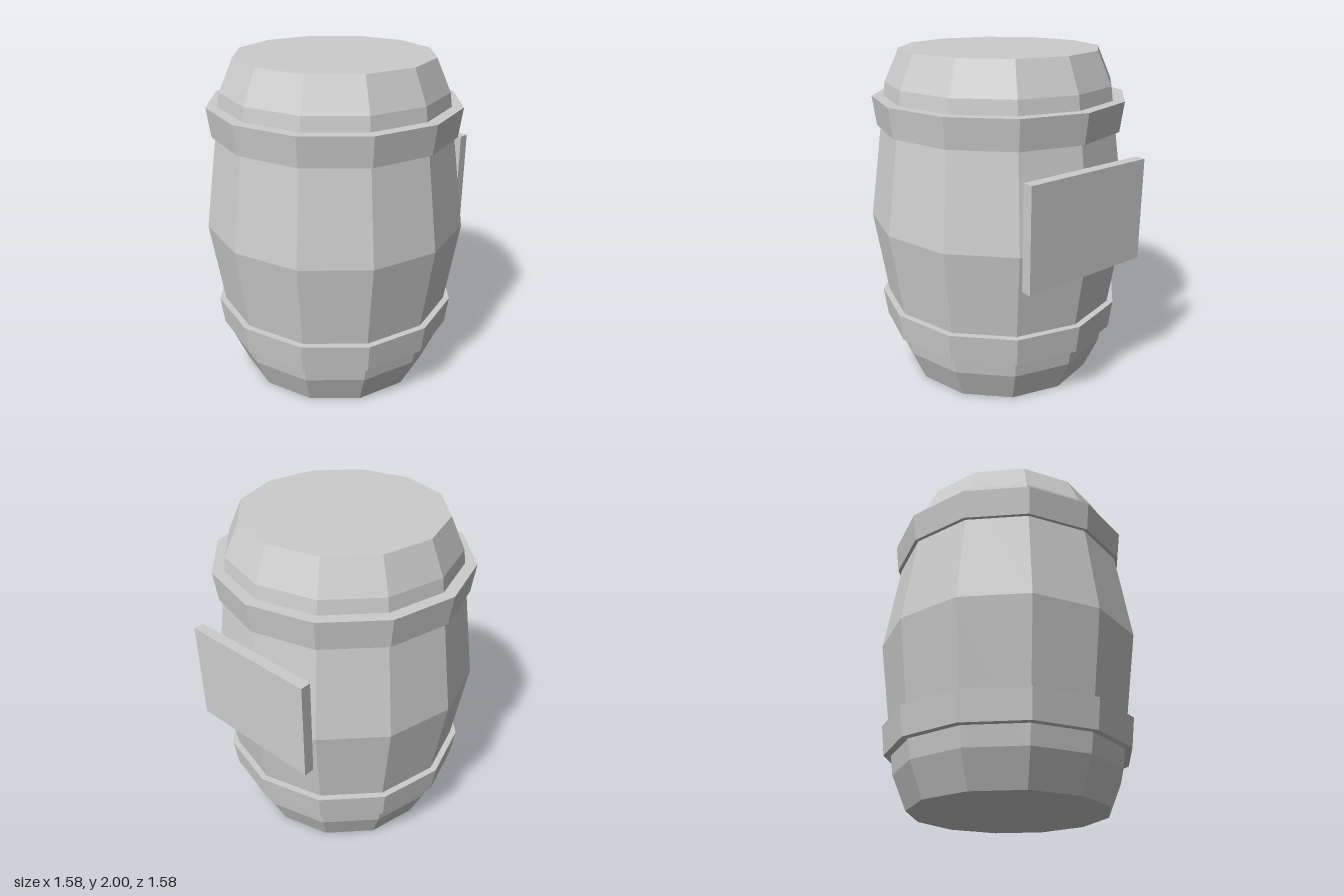
import * as THREE from 'three';

const SIDES = 12;

export function createModel() {
  const model = new THREE.Group();
  model.name = 'barrel';

  const grey = new THREE.MeshStandardMaterial({ color: 0xcccccc, flatShading: true });
  grey.name = 'grey';

  function add(name, geometry, y = 0, z = 0) {
    const mesh = new THREE.Mesh(geometry, grey);
    mesh.name = name;
    mesh.position.set(0, y, z);
    model.add(mesh);
  }

  // Twelve-sided solid of revolution from [radius, height] pairs, bottom to top
  function lathe(profile) {
    return new THREE.LatheGeometry(profile.map(([r, y]) => new THREE.Vector2(r, y)), SIDES);
  }

  // Bulging body with flat ends
  add('body', lathe([
    [0, 0], [0.587, 0], [0.673, 0.2], [0.79, 1], [0.673, 1.81], [0.587, 2], [0, 2],
  ]));

  // Two hoops, each slightly wider at its top edge
  for (const [name, y] of [['lowerHoop', 0.313], ['upperHoop', 1.555]]) {
    add(name, lathe([[0.67, 0], [0.731, 0], [0.753, 0.174], [0.67, 0.174]]), y);
  }

  // Flat sign board on the back
  add('backPlate', new THREE.BoxGeometry(0.825, 0.6, 0.063), 1.125, -0.759);

  return model;
}
